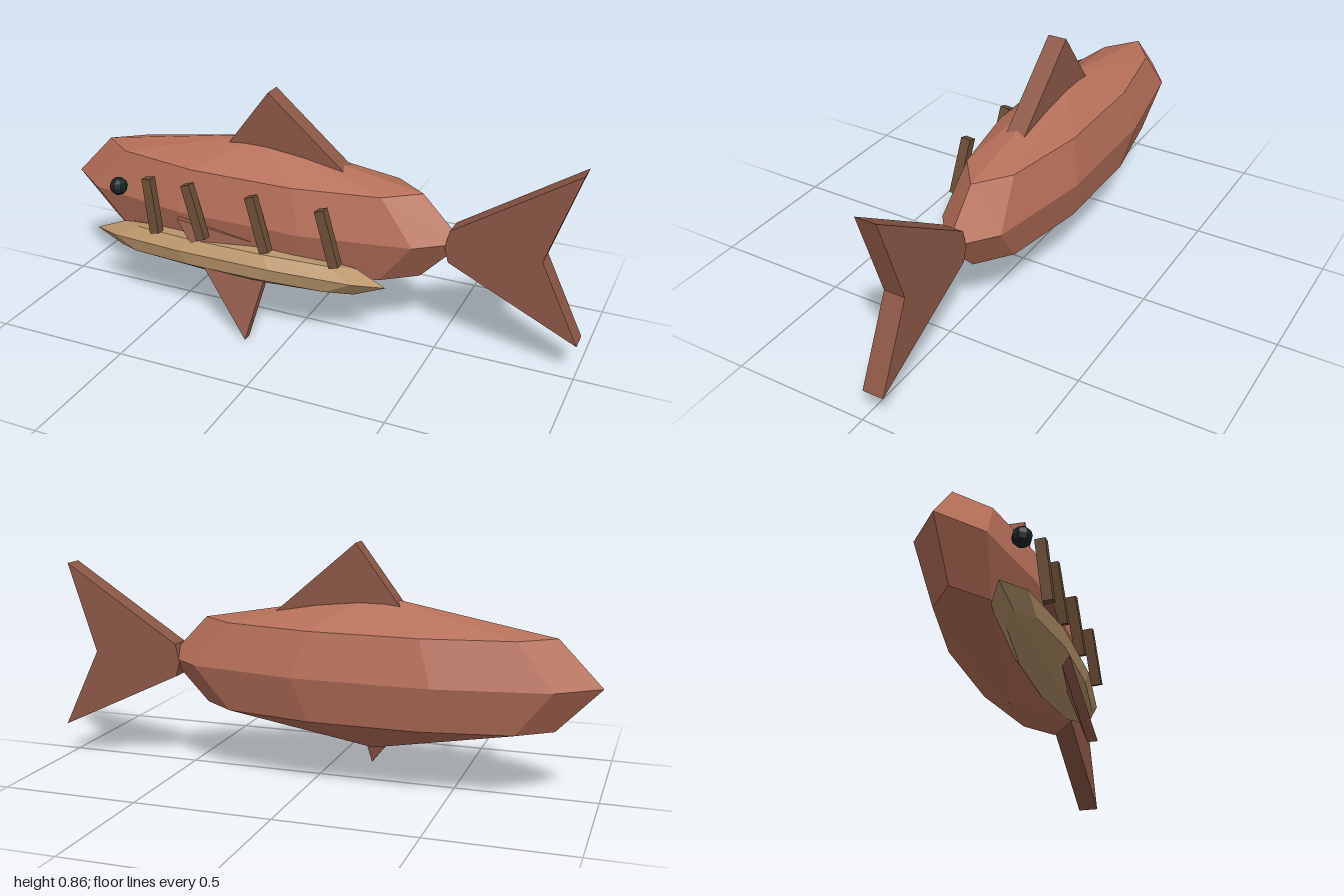
import * as THREE from 'three';

const mat = (color) => new THREE.MeshStandardMaterial({ color, flatShading: true });

// Faceted ten-sided ellipsoid with pointed poles; corners lie on the x axis
function pod(rx, ry, rz) {
  const profile = [[0, -1], [0.805, -0.58], [1, 0], [0.805, 0.58], [0, 1]]
    .map(([r, y]) => new THREE.Vector2(r, y));
  return new THREE.LatheGeometry(profile, 10, Math.PI / 2).scale(rx, ry, rz);
}

// Flat outline in the xy plane, given thickness along z
function slab(points, thickness) {
  const shape = new THREE.Shape(points.map(([x, y]) => new THREE.Vector2(x, y)));
  return new THREE.ExtrudeGeometry(shape, { depth: thickness, bevelEnabled: false });
}

export function createModel() {
  const model = new THREE.Group();
  const bodyMat = mat(0xb56f58);
  const finMat = mat(0x8d5847);
  const bellyMat = mat(0xb8946a);
  const stripeMat = mat(0x6b4e36);
  const eyeMat = mat(0x1a2426);

  const add = (name, geometry, material, x = 0, y = 0, z = 0) => {
    const mesh = new THREE.Mesh(geometry, material);
    mesh.name = name;
    mesh.position.set(x, y, z);
    model.add(mesh);
    return mesh;
  };

  // Body and the tilted belly on its front side
  add('body', pod(0.786, 0.275, 0.194), bodyMat, -0.214, 0.41, -0.047);
  const belly = add('belly', pod(0.59, 0.08, 0.102), bellyMat, -0.245, 0.256, 0.1);
  belly.rotation.x = -0.27;

  // Forked tail and back fin
  add('tailFin', slab([
    [0.53, 0.465], [0.515, 0.4], [0.53, 0.345], [0.997, 0.123], [0.855, 0.416], [0.963, 0.745],
  ], 0.077), finMat, 0, 0, -0.086);
  add('backFin', slab([[-0.33, 0.63], [0.15, 0.6], [-0.155, 0.863]], 0.07), finMat, 0, 0, -0.082);

  // Side fin: a slab sheared so that it slants outward toward its tip
  const sideFin = slab([[-0.45, 0.39], [-0.14, 0], [-0.08, 0.325]], 0.035);
  const p = sideFin.attributes.position;
  for (let i = 0; i < p.count; i++) {
    const x = p.getX(i) + 0.14;
    const y = p.getY(i);
    p.setZ(i, p.getZ(i) + 0.2 - 0.174 * x - 0.343 * y);
  }
  sideFin.computeVertexNormals();
  add('sideFin', sideFin, finMat);

  // Slanted stripes: centre x, centre y, lean
  const stripes = [[-0.545, 0.43, 0.16], [-0.368, 0.438, 0.32], [-0.114, 0.438, 0.31], [0.152, 0.438, 0.31]];
  for (const [x, y, lean] of stripes) {
    const stripe = add('stripe', new THREE.BoxGeometry(0.036, 0.208, 0.036), stripeMat, x, y, 0.162);
    stripe.rotation.set(-0.08, 0, lean);
  }

  // Eye
  add('eye', new THREE.SphereGeometry(0.034, 8, 6), eyeMat, -0.706, 0.465, 0.132);

  return model;
}
